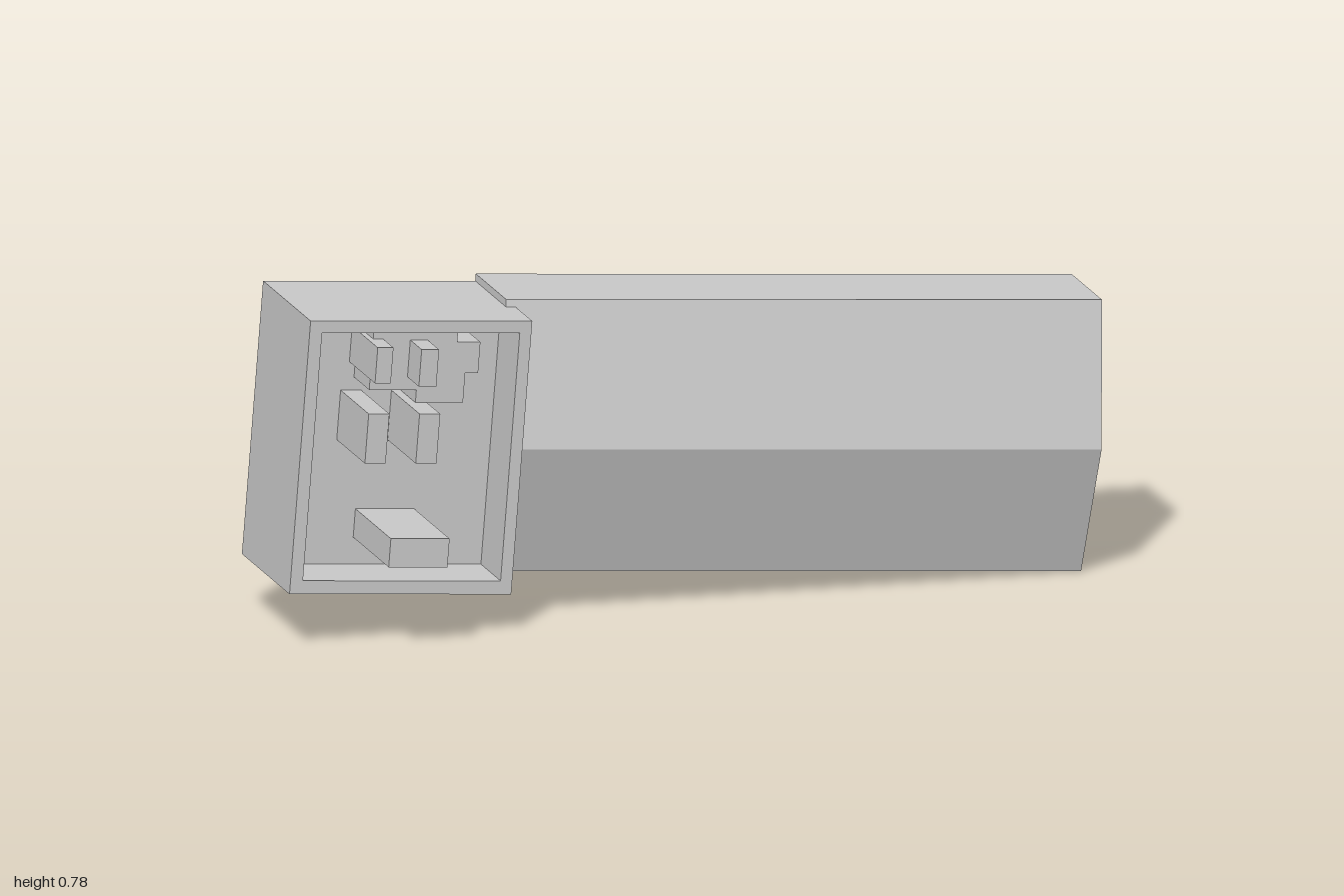
import * as THREE from 'three';

const material = new THREE.MeshStandardMaterial({ color: 0xcccccc, flatShading: true });
const BACK = -0.25, FLOOR = -0.03, RIM = 0.125;

const polygon = (points) => new THREE.Shape(points.map(([x, y]) => new THREE.Vector2(x, y)));
const rect = (x0, y0, x1, y1) => [[x0, y0], [x1, y0], [x1, y1], [x0, y1]];
const extrude = (shape, depth) => new THREE.ExtrudeGeometry(shape, { depth, bevelEnabled: false });

export function createModel() {
  const model = new THREE.Group();
  model.name = 'device';

  function add(name, geometry, parent = model) {
    const mesh = new THREE.Mesh(geometry, material);
    mesh.name = name;
    parent.add(mesh);
    return mesh;
  }

  // Open-fronted housing: a solid back with a hollow frame on it
  const housing = new THREE.Group();
  housing.name = 'housing';
  model.add(housing);
  const outer = rect(-1.008, 0.053, -0.472, 0.703);
  add('housingBack', extrude(polygon(outer), FLOOR - BACK), housing).position.z = BACK;
  const frame = polygon(outer);
  frame.holes.push(polygon(rect(-0.978, 0.085, -0.5, 0.675)));
  add('housingFrame', extrude(frame, RIM - FLOOR), housing).position.z = FLOOR;

  // Long body with a ridged front, profile given as [-z, y]
  const profile = polygon([[0.25, 0.0745], [0.25, 0.72], [0.01, 0.72], [-0.072, 0.384], [0.01, 0.0745]]);
  const body = extrude(profile, 0.946 + 0.495);
  body.rotateY(Math.PI / 2);
  add('longBody', body).position.x = -0.495;

  // Stepped block on the cavity floor
  const block = polygon([
    [-0.842, 0.53], [-0.728, 0.53], [-0.728, 0.5], [-0.613, 0.5], [-0.613, 0.57],
    [-0.582, 0.57], [-0.582, 0.644], [-0.638, 0.644], [-0.638, 0.668], [-0.842, 0.668],
  ]);
  add('steppedBlock', extrude(block, 0.09 - FLOOR)).position.z = FLOOR;

  // Pegs standing on the cavity floor: name, centre x, centre y, width, height, front z
  const pegs = [
    ['lowerPeg', -0.743, 0.183, 0.142, 0.068, 0.25],
    ['middlePegRight', -0.847, 0.44, 0.05, 0.118, 0.192],
    ['middlePegLeft', -0.724, 0.44, 0.05, 0.118, 0.192],
    ['upperPegRight', -0.837, 0.609, 0.038, 0.085, 0.172],
    ['upperPegLeft', -0.731, 0.605, 0.042, 0.088, 0.18],
  ];
  for (const [name, x, y, w, h, front] of pegs) {
    add(name, new THREE.BoxGeometry(w, h, front - FLOOR)).position.set(x, y, (front + FLOOR) / 2);
  }

  // The whole device leans slightly down towards its left end
  model.rotation.z = THREE.MathUtils.degToRad(-4.5);
  const root = new THREE.Group();
  root.name = 'model';
  root.add(model);
  return root;
}
